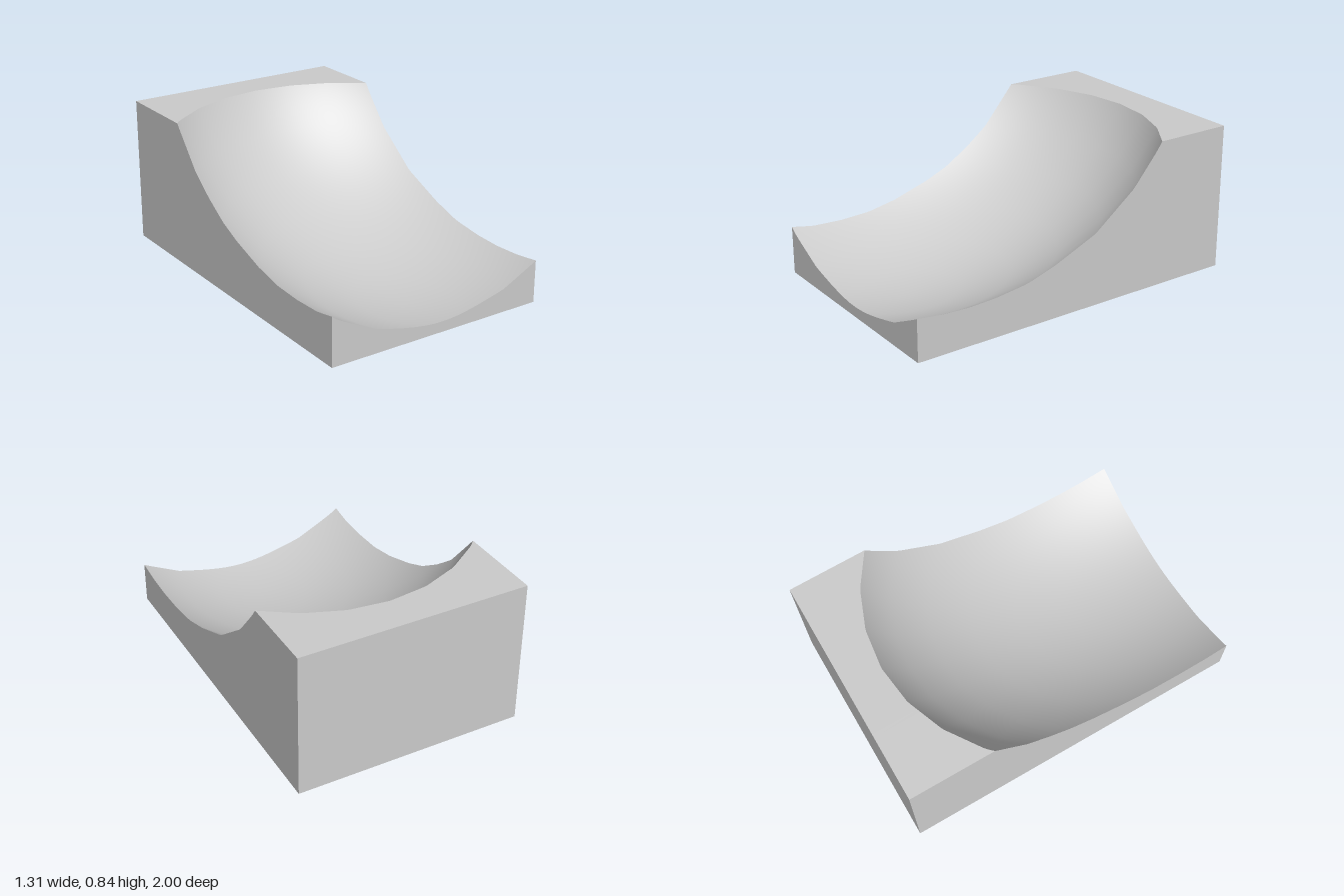
import * as THREE from 'three';
import { mergeGeometries } from 'three/addons/utils/BufferGeometryUtils.js';

// Block size, and the faceted ellipsoid that hollows it out
const W = 0.655, H = 0.84, D = 1;
const C = new THREE.Vector3(0.025, 1.335, 0.69);
const R = new THREE.Vector3(1.256, 1.3, 1.6);
const STEP = Math.PI / 16;
const NX = 60, NZ = 72;

const v = (x, y, z) => new THREE.Vector3(x, y, z);

// Height of the hollow's underside, a 32 x 16 faceted ellipsoid
function hollowHeight(x, z) {
  const dx = (x - C.x) / R.x, dz = (z - C.z) / R.z;
  const a = Math.atan2(dz, dx);
  const mid = (Math.floor(a / STEP) + 0.5) * STEP;
  const r = Math.hypot(dx, dz) * Math.cos(a - mid) / Math.cos(STEP / 2);
  for (let i = 0; i < 8; i++) {
    const r0 = Math.sin(i * STEP), r1 = Math.sin((i + 1) * STEP);
    if (r <= r1) {
      const c = THREE.MathUtils.mapLinear(r, r0, r1, Math.cos(i * STEP), Math.cos((i + 1) * STEP));
      return C.y - R.y * c;
    }
  }
  return Infinity;
}

// Depth at which the hollow reaches the top face
function rimZ(x) {
  let lo = -D, hi = C.z;
  for (let i = 0; i < 40; i++) {
    const m = (lo + hi) / 2;
    if (hollowHeight(x, m) > H) lo = m; else hi = m;
  }
  return hi;
}

// Quads between two rows of points, walked left to right as seen from outside
function strip(top, bottom) {
  const pts = [];
  for (let i = 0; i < top.length - 1; i++) {
    pts.push(top[i], bottom[i], bottom[i + 1], top[i], bottom[i + 1], top[i + 1]);
  }
  const g = new THREE.BufferGeometry().setFromPoints(pts);
  g.computeVertexNormals();
  return g;
}

export function createModel() {
  const group = new THREE.Group();
  group.name = 'hollowedBlock';
  const material = new THREE.MeshStandardMaterial({ color: 0xcccccc });
  const add = (name, geometry) => {
    const mesh = new THREE.Mesh(geometry, material);
    mesh.name = name;
    group.add(mesh);
  };

  // Rows of surface points, from the front edge back to the rim
  const xs = Array.from({ length: NX + 1 }, (_, i) => -W + (2 * W * i) / NX);
  const rims = xs.map(rimZ);
  const rows = [];
  for (let j = 0; j <= NZ; j++) {
    rows.push(xs.map((x, i) => {
      const z = THREE.MathUtils.lerp(D, rims[i], j / NZ);
      return v(x, j === NZ ? H : hollowHeight(x, z), z);
    }));
  }

  // Concave surface, shaded smoothly with the ellipsoid's inward normals
  const bowl = mergeGeometries(rows.slice(1).map((row, j) => strip(row, rows[j])));
  const p = bowl.attributes.position, n = v(0, 0, 0);
  for (let i = 0; i < p.count; i++) {
    n.fromBufferAttribute(p, i).sub(C).divide(R).divide(R).negate().normalize();
    bowl.attributes.normal.setXYZ(i, n.x, n.y, n.z);
  }
  add('hollowSurface', bowl);

  // Flat faces of the block
  const floor = (pts) => pts.map((q) => v(q.x, 0, q.z));
  const leftEdge = [...rows.map((r) => r[NX]), v(W, H, -D)];
  const rightEdge = [...rows.map((r) => r[0]), v(-W, H, -D)].reverse();
  const backEdge = [v(W, H, -D), v(-W, H, -D)];
  add('leftWall', strip(leftEdge, floor(leftEdge)));
  add('rightWall', strip(rightEdge, floor(rightEdge)));
  add('frontWall', strip(rows[0], floor(rows[0])));
  add('backWall', strip(backEdge, floor(backEdge)));
  add('topLedge', strip(xs.map((x) => v(x, H, -D)), rows[NZ]));
  add('base', strip([v(-W, 0, D), v(W, 0, D)], [v(-W, 0, -D), v(W, 0, -D)]));
  return group;
}
